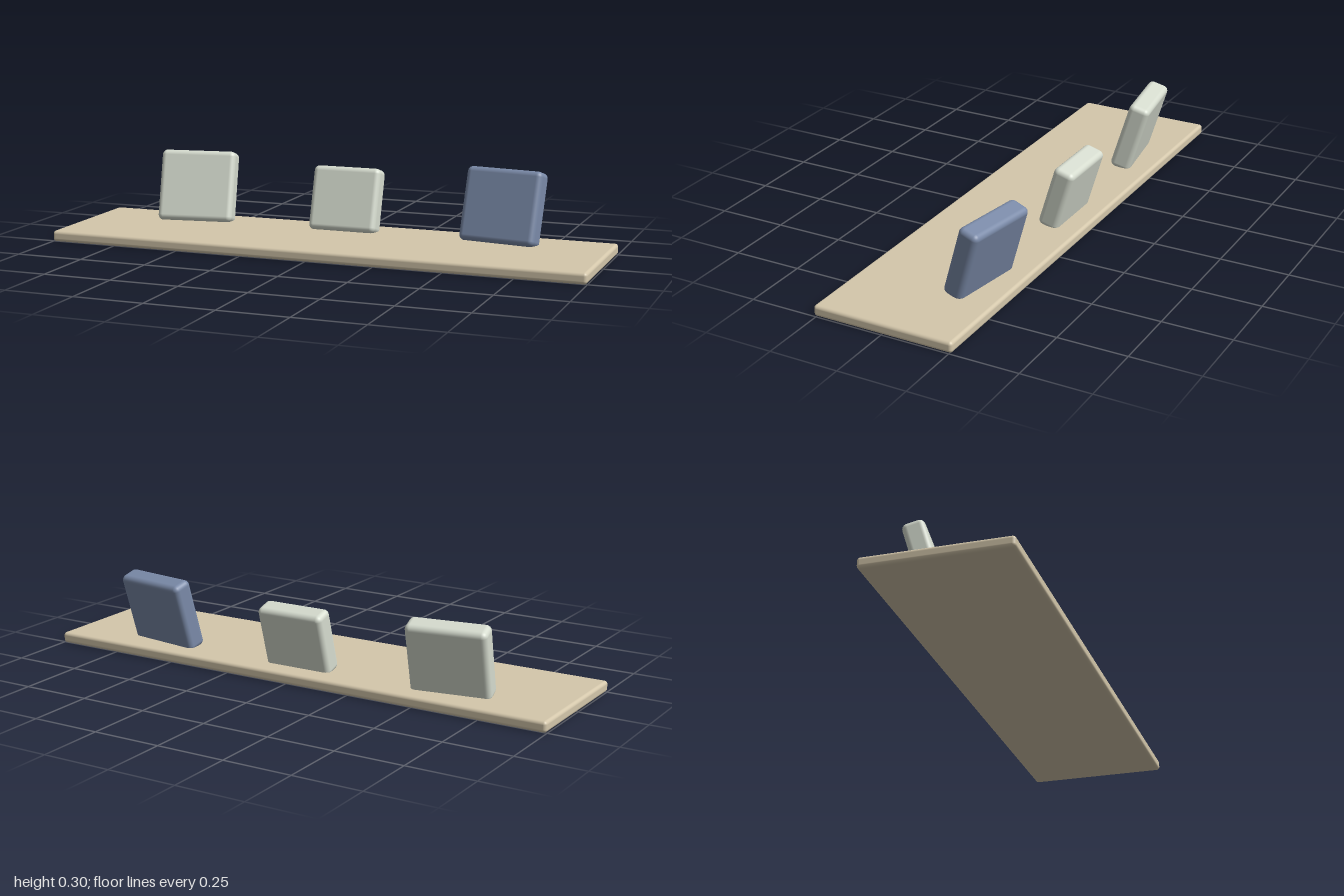
import * as THREE from 'three';
import { RoundedBoxGeometry } from 'three/addons/geometries/RoundedBoxGeometry.js';

const material = (color) => new THREE.MeshStandardMaterial({ color });

// Box with softly rounded edges
function roundedBlock(name, size, radius, mat) {
  const mesh = new THREE.Mesh(new RoundedBoxGeometry(...size, 4, radius), mat);
  mesh.name = name;
  return mesh;
}

export function createModel() {
  const model = new THREE.Group();
  model.name = 'benchWithCushions';

  const sand = material(0xd4c7ab);
  const pale = material(0xd6dccf);
  const blue = material(0x7a8aa8);

  // Long flat seat board
  const board = roundedBlock('seatBoard', [2, 0.04, 0.52], 0.012, sand);
  board.position.y = 0.02;
  model.add(board);

  // Cushions leaning back; the outer pair turns towards the middle
  const tilt = -0.29;
  const cushions = [
    { name: 'rightCushion', w: 0.29, h: 0.27, at: [-0.6, 0.163, -0.16], yaw: 0.15, mat: pale },
    { name: 'middleCushion', w: 0.26, h: 0.24, at: [0, 0.148, -0.17], yaw: 0, mat: pale },
    { name: 'leftCushion', w: 0.29, h: 0.27, at: [0.6, 0.163, -0.16], yaw: -0.15, mat: blue },
  ];
  for (const { name, w, h, at, yaw, mat } of cushions) {
    const cushion = roundedBlock(name, [w, h, 0.08], 0.02, mat);
    cushion.position.set(...at);
    cushion.rotation.set(tilt, yaw, 0, 'YXZ');
    model.add(cushion);
  }

  return model;
}
